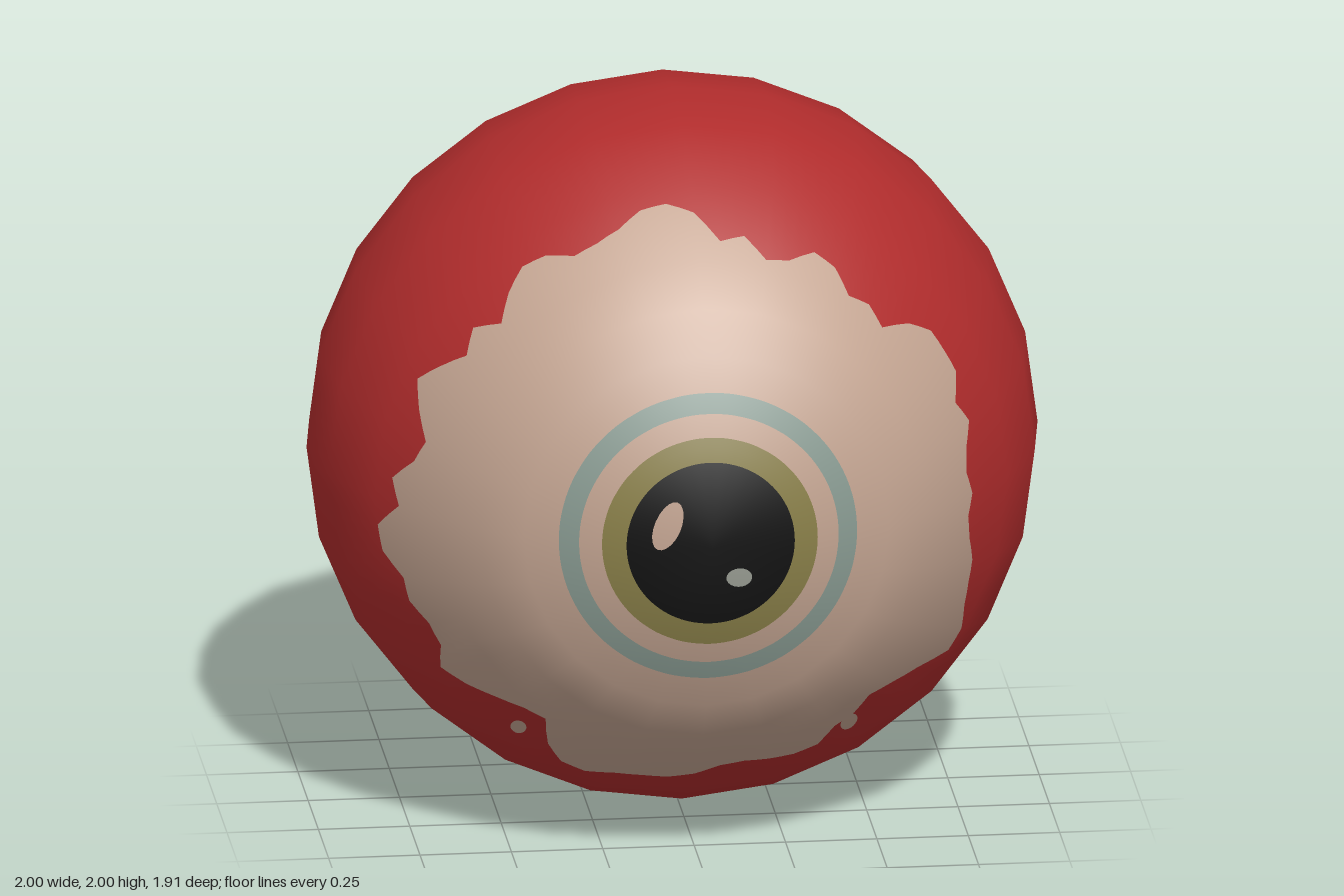
import * as THREE from 'three';

const COLUMNS = 144;
const SIDE = Math.PI / 12; // the ball is a 24-sided turned form

// Profile [radius, z] from the front pole to the back pole
const profile = [[0, 0.955], [0.27, 0.895], [0.5, 0.8], [0.61, 0.72], [0.71, 0.61]];
for (let k = 4; k <= 12; k++) profile.push([Math.sin(k * SIDE), -0.04 + 0.92 * Math.cos(k * SIDE)]);
const LAST = profile.length - 1;
profile[LAST][0] = 0;

// Smooth profile normals [radial, z] at each ring
const normals = profile.map((p, i) => {
  if (i === 0) return [0, 1];
  if (i === LAST) return [0, -1];
  const a = profile[i - 1], b = profile[i + 1];
  const n = new THREE.Vector2(a[1] - b[1], b[0] - a[0]).normalize();
  return [n.x, n.y];
});

// Ragged edge of the white, one radius every five degrees from +x
const raggedEdge = [
  0.755, 0.74, 0.75, 0.775, 0.755, 0.79, 0.79, 0.79, 0.76, 0.71, 0.73, 0.72,
  0.76, 0.77, 0.735, 0.725, 0.765, 0.75, 0.81, 0.83, 0.825, 0.80, 0.785, 0.78,
  0.81, 0.815, 0.79, 0.755, 0.79, 0.765, 0.80, 0.83, 0.80, 0.765, 0.78, 0.825,
  0.807, 0.86, 0.857, 0.82, 0.825, 0.80, 0.80, 0.84, 0.81, 0.767, 0.737, 0.725,
  0.80, 0.845, 0.85, 0.82, 0.813, 0.81, 0.79, 0.763, 0.76, 0.775, 0.797, 0.80,
  0.755, 0.755, 0.732, 0.756, 0.80, 0.86, 0.853, 0.82, 0.80, 0.786, 0.76, 0.746,
];

const lerpAt = (list, s) => {
  const i = Math.min(Math.floor(s), LAST - 1), f = s - i;
  return [0, 1].map(k => list[i][k] * (1 - f) + list[i + 1][k] * f);
};

// Radius of a unit 24-sided polygon at an angle
const chord = angle => {
  const a = ((angle % SIDE) + SIDE) % SIDE;
  return Math.cos(SIDE / 2) / Math.cos(a - SIDE / 2);
};

// Profile position of a front-half radius at an angle
function ringAt(radius, angle) {
  const r = radius / chord(angle);
  let i = 0;
  while (i < 7 && profile[i + 1][0] < r) i++;
  return i + Math.min(1, (r - profile[i][0]) / (profile[i + 1][0] - profile[i][0]));
}

const circle = r => angle => ringAt(r, angle);
const ragged = angle => {
  const t = angle / (Math.PI / 36), i = Math.floor(t), f = t - i;
  return ringAt(raggedEdge[i % 72] * (1 - f) + raggedEdge[(i + 1) % 72] * f, angle);
};

// Part of the ball's surface between two outlines
function band(name, inner, outer, material) {
  const pos = [], nor = [], index = [], rows = LAST + 3;
  for (let c = 0; c <= COLUMNS; c++) {
    const angle = (c % COLUMNS) / COLUMNS * Math.PI * 2;
    const a = inner(angle), b = outer(angle);
    const steps = [a, ...profile.map((_, k) => Math.min(b, Math.max(a, k))), b];
    for (const s of steps) {
      const [r, z] = lerpAt(profile, s), [nr, nz] = lerpAt(normals, s);
      const q = r * chord(angle), len = Math.hypot(nr, nz);
      pos.push(q * Math.cos(angle), q * Math.sin(angle), z);
      nor.push(nr / len * Math.cos(angle), nr / len * Math.sin(angle), nz / len);
    }
    if (c === COLUMNS) break;
    for (let k = 0; k < rows - 1; k++) {
      const i = c * rows + k, j = i + rows;
      index.push(i, i + 1, j + 1, i, j + 1, j);
    }
  }
  const g = new THREE.BufferGeometry();
  g.setAttribute('position', new THREE.Float32BufferAttribute(pos, 3));
  g.setAttribute('normal', new THREE.Float32BufferAttribute(nor, 3));
  g.setIndex(index);
  const mesh = new THREE.Mesh(g, material);
  mesh.name = name;
  return mesh;
}

// Small oval laid just over the surface
function spot(name, x, y, w, h, tilt, material) {
  const g = new THREE.CircleGeometry(1, 20);
  g.scale(w, h, 1).rotateZ(tilt).translate(x, y, 0);
  const p = g.attributes.position, n = g.attributes.normal;
  for (let i = 0; i < p.count; i++) {
    const angle = Math.atan2(p.getY(i), p.getX(i));
    const s = ringAt(Math.hypot(p.getX(i), p.getY(i)), angle);
    const [nr, nz] = lerpAt(normals, s);
    p.setZ(i, lerpAt(profile, s)[1] + 0.005);
    n.setXYZ(i, nr * Math.cos(angle), nr * Math.sin(angle), nz);
  }
  g.normalizeNormals();
  const mesh = new THREE.Mesh(g, material);
  mesh.name = name;
  return mesh;
}

function paint(name, color) {
  const m = new THREE.MeshStandardMaterial({ color });
  m.name = name;
  return m;
}

export function createModel() {
  const red = paint('red', 0xb02c2c);
  const white = paint('pinkish white', 0xc4a592);
  const teal = paint('grey teal', 0x8a9c93);
  const olive = paint('olive', 0x8a8049);
  const black = paint('black', 0x121212);
  const grey = paint('pale grey', 0x9a9e94);

  const model = new THREE.Group();
  model.name = 'eyeball';
  const eye = new THREE.Group();
  eye.name = 'eye';
  eye.position.y = 1;
  model.add(eye);

  // Coloured bands from the pupil outwards
  eye.add(
    band('pupil', () => 0, circle(0.23), black),
    band('iris', circle(0.23), circle(0.295), olive),
    band('innerWhite', circle(0.295), circle(0.355), white),
    band('irisRing', circle(0.355), circle(0.408), teal),
    band('white', circle(0.408), ragged, white),
    band('redBack', ragged, () => LAST, red),
  );

  // Glints in the pupil and stray flecks beside the ragged edge
  eye.add(
    spot('largeGlint', -0.12, 0.06, 0.035, 0.072, -0.4, white),
    spot('smallGlint', 0.075, -0.092, 0.036, 0.028, -0.1, grey),
    spot('leftFleck', -0.48, -0.645, 0.02, 0.026, 0, white),
    spot('rightFleck', 0.42, -0.65, 0.025, 0.032, 0, white),
  );
  return model;
}
